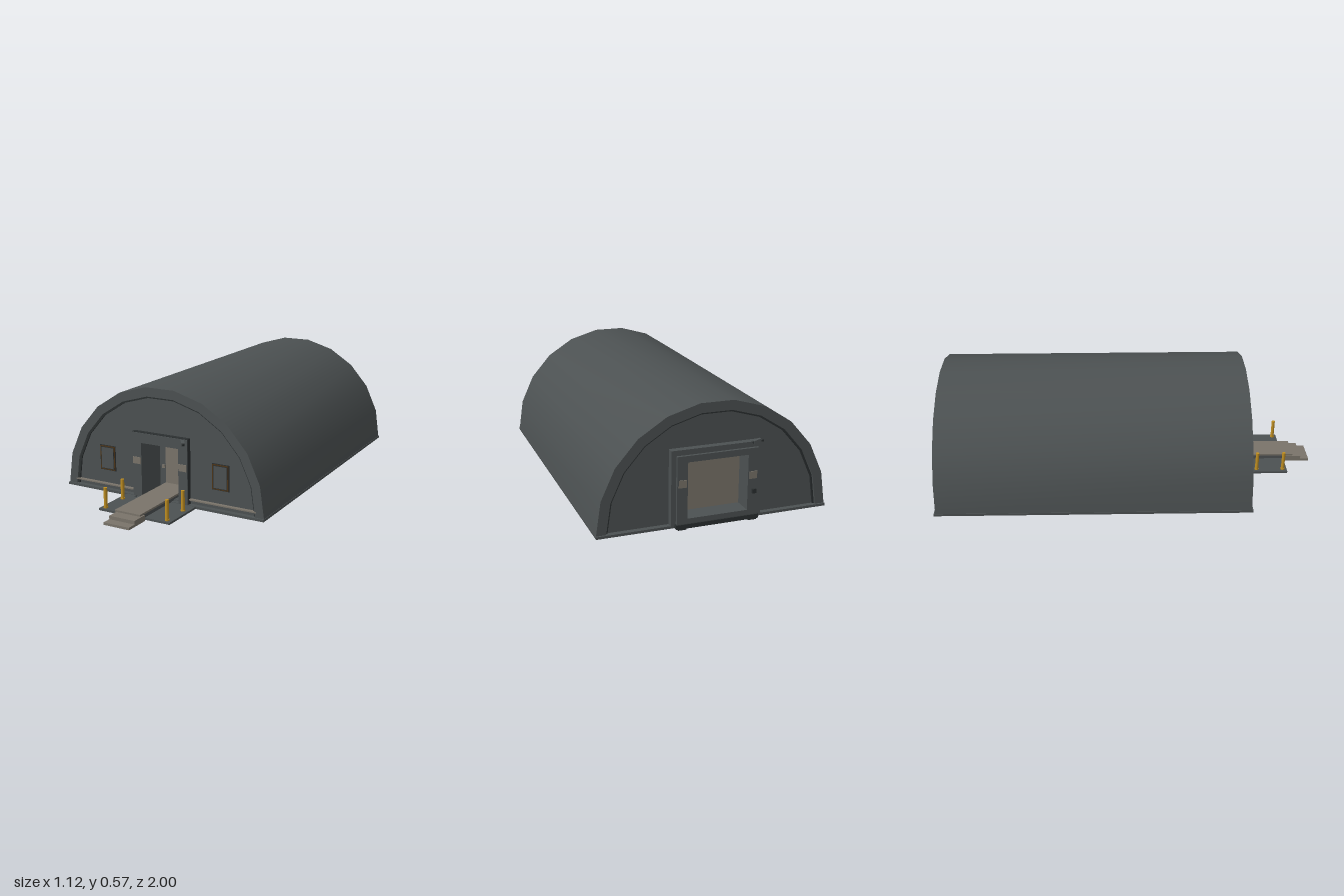
import * as THREE from 'three';
import { toCreasedNormals } from 'three/addons/utils/BufferGeometryUtils.js';

const mat = (name, color, side = THREE.FrontSide) => {
  const m = new THREE.MeshStandardMaterial({ color, side });
  m.name = name;
  return m;
};

export function createModel() {
  const model = new THREE.Group();
  model.name = 'archedShelter';
  const hull = mat('slate grey', 0x4c5152);
  const dark = mat('charcoal', 0x2b2f30);
  const beige = mat('warm grey', 0x7a746a);
  const gold = mat('safety yellow', 0xc08f22);
  const brown = mat('brown trim', 0x4d3417);

  const add = (name, geo, material, x = 0, y = 0, z = 0, parent = model) => {
    const m = new THREE.Mesh(geo, material);
    m.name = name;
    m.position.set(x, y, z);
    parent.add(m);
    return m;
  };
  // box given by its limits on each axis
  const box = (name, material, [x0, x1], [y0, y1], [z0, z1], parent = model) =>
    add(name, new THREE.BoxGeometry(x1 - x0, y1 - y0, z1 - z0), material,
      (x0 + x1) / 2, (y0 + y1) / 2, (z0 + z1) / 2, parent);
  const extrude = (shape, depth) =>
    new THREE.ExtrudeGeometry(shape, { depth, bevelEnabled: false });

  // eleven-sided half circle, from right foot to left foot
  const FLOOR = 0.016;
  const arc = (r) => Array.from({ length: 12 }, (_, i) => {
    const a = (i / 11) * Math.PI;
    return new THREE.Vector2(r * Math.cos(a), FLOOR + r * Math.sin(a));
  });
  const ring = (outer, inner) => new THREE.Shape([...arc(outer), ...arc(inner).reverse()]);
  // door surround, open at the bottom
  const portal = (w, h, wi, hi, y = FLOOR) => new THREE.Shape([
    [-w, y], [-wi, y], [-wi, hi], [wi, hi], [wi, y], [w, y], [w, h], [-w, h],
  ].map(([px, py]) => new THREE.Vector2(px, py)));

  // roof shell, with a small lining step under each rim
  add('roofShell', toCreasedNormals(extrude(ring(0.558, 0.512), 1.58), 0.5), hull, 0, 0, -0.96);
  for (const z of [-0.95, 0.598]) add('rimLining', extrude(ring(0.514, 0.503), 0.012), dark, 0, 0, z);

  // base slab and its underside
  box('baseSlab', hull, [-0.56, 0.56], [0.004, FLOOR], [-0.968, 0.628]);
  box('underside', dark, [-0.545, 0.545], [0.002, 0.005], [-0.95, 0.61]);
  for (const s of [-1, 1]) {
    box('undersideTrim', brown, [s * 0.52 - 0.003, s * 0.52 + 0.003], [0.001, 0.003], [-0.9, 0.56]);
    for (const z of [-0.75, -0.4, 0.1, 0.4])
      box('undersideMarker', beige, [s * 0.535 - 0.006, s * 0.535 + 0.006], [0, 0.003], [z - 0.05, z + 0.05]);
    for (const z of [-0.82, 0.48])
      box('undersideLug', gold, [s * 0.17 - 0.012, s * 0.17 + 0.012], [0, 0.003], [z - 0.008, z + 0.008]);
  }

  // end walls with door openings
  const endWall = (w, y0, y1) => {
    const s = new THREE.Shape(arc(0.508));
    s.holes.push(new THREE.Path([[-w, y0], [-w, y1], [w, y1], [w, y0]]
      .map(([px, py]) => new THREE.Vector2(px, py))));
    return extrude(s, 0.01);
  };
  add('frontWall', endWall(0.105, 0.018, 0.29), hull, 0, 0, 0.593);
  add('backWall', endWall(0.145, 0.05, 0.315), hull, 0, 0, -0.943);

  // recess behind each opening
  const recess = (name, w, y0, y1, z0, z1) => {
    const g = new THREE.Group();
    g.name = name;
    model.add(g);
    for (const s of [-1, 1])
      box('recessSide', hull, s < 0 ? [-w - 0.01, -w] : [w, w + 0.01], [y0, y1], [z0, z1], g);
    box('recessCeiling', hull, [-w, w], [y1, y1 + 0.01], [z0, z1], g);
    box('recessFloor', hull, [-w, w], [y0 - 0.01, y0], [z0, z1], g);
    return g;
  };
  const entry = recess('entryRecess', 0.105, 0.02, 0.29, 0.46, 0.6);
  box('entryBack', hull, [-0.105, 0.105], [0.02, 0.29], [0.45, 0.462], entry);
  box('entryDoor', beige, [-0.068, 0.068], [0.03, 0.285], [0.462, 0.468], entry);
  box('entryKeypad', beige, [-0.09, -0.073], [0.12, 0.137], [0.462, 0.47], entry);
  const bay = recess('bayRecess', 0.145, 0.05, 0.315, -0.94, -0.89);
  box('bayDoor', beige, [-0.145, 0.145], [0.05, 0.315], [-0.896, -0.886], bay);

  // front door surround
  add('entryFrame', extrude(portal(0.155, 0.34, 0.105, 0.29), 0.028), hull, 0, 0, 0.602);
  add('entryFrameEdge', extrude(portal(0.157, 0.343, 0.152, 0.338), 0.024), dark, 0, 0, 0.602);
  // back door surround, in two steps
  add('bayFrame', extrude(portal(0.218, 0.37, 0.145, 0.315), 0.032), hull, 0, 0, -0.975);
  add('bayFrameLip', extrude(portal(0.195, 0.345, 0.145, 0.315), 0.014), hull, 0, 0, -0.988);
  box('baySill', hull, [-0.195, 0.195], [0.006, 0.05], [-0.988, -0.94]);
  box('bayBumper', dark, [-0.2, 0.2], [0.006, 0.026], [-0.994, -0.96]);
  box('bayKnob', dark, [-0.185, -0.165], [0.13, 0.15], [-0.997, -0.985]);

  for (const s of [-1, 1]) {
    const span = (c, h) => [s * c - h, s * c + h];
    // plates on the door surrounds
    box('entryPlate', beige, span(0.13, 0.022), [0.182, 0.216], [0.629, 0.634]);
    box('bayPlate', beige, span(0.17, 0.018), [0.2, 0.235], [-0.992, -0.986]);
    // feet under the surrounds
    box('entryFoot', dark, span(0.13, 0.012), [0, 0.014], [0.59, 0.645]);
    box('bayFoot', dark, span(0.17, 0.02), [0, 0.02], [-0.992, -0.93]);
    // window
    box('windowFrameEdge', dark, span(0.322, 0.046), [0.11, 0.24], [0.602, 0.606]);
    box('windowFrame', brown, span(0.322, 0.043), [0.113, 0.237], [0.602, 0.609]);
    box('windowInner', dark, span(0.322, 0.038), [0.118, 0.232], [0.602, 0.61]);
    box('windowPane', hull, span(0.322, 0.035), [0.121, 0.229], [0.602, 0.611]);
    // trim line along the foot of the front wall
    box('wallTrim', beige, span(0.337, 0.18), [0.037, 0.043], [0.602, 0.621]);
    // bollards
    for (const z of [0.7, 0.84]) {
      add('bollard', new THREE.CylinderGeometry(0.009, 0.009, 0.115, 12), gold, s * 0.172, 0.0575, z);
      add('bollardFoot', new THREE.CylinderGeometry(0.011, 0.011, 0.006, 12), gold, s * 0.172, 0.017, z);
    }
  }

  // platform, walkway and steps
  box('platform', hull, [-0.198, 0.198], [0.004, 0.014], [0.62, 0.862]);
  box('walkway', beige, [-0.07, 0.07], [0.036, 0.045], [0.468, 0.91]);
  box('upperStep', beige, [-0.07, 0.07], [0.012, 0.031], [0.87, 0.955]);
  box('lowerStep', beige, [-0.07, 0.07], [0.002, 0.014], [0.87, 1.0]);
  box('walkwaySupport', hull, [-0.062, 0.062], [0.012, 0.037], [0.47, 0.87]);

  // security cameras: bracket, body and lens
  const securityCamera = (x, y, z, turn) => {
    const g = new THREE.Group();
    g.name = 'securityCamera';
    g.position.set(x, y, z);
    g.rotation.y = turn;
    model.add(g);
    box('cameraBracket', dark, [-0.004, 0.004], [-0.004, 0.004], [-0.02, 0.01], g);
    const body = box('cameraBody', hull, [-0.008, 0.008], [-0.008, 0.008], [-0.004, 0.03], g);
    body.rotation.x = 0.25;
    add('cameraLens', new THREE.CylinderGeometry(0.005, 0.005, 0.006, 10), dark, 0, -0.004, 0.031, g)
      .rotation.x = Math.PI / 2 + 0.25;
  };
  securityCamera(0.135, 0.33, 0.64, 0.7);
  securityCamera(-0.2, 0.372, -0.98, Math.PI / 2);

  return model;
}
